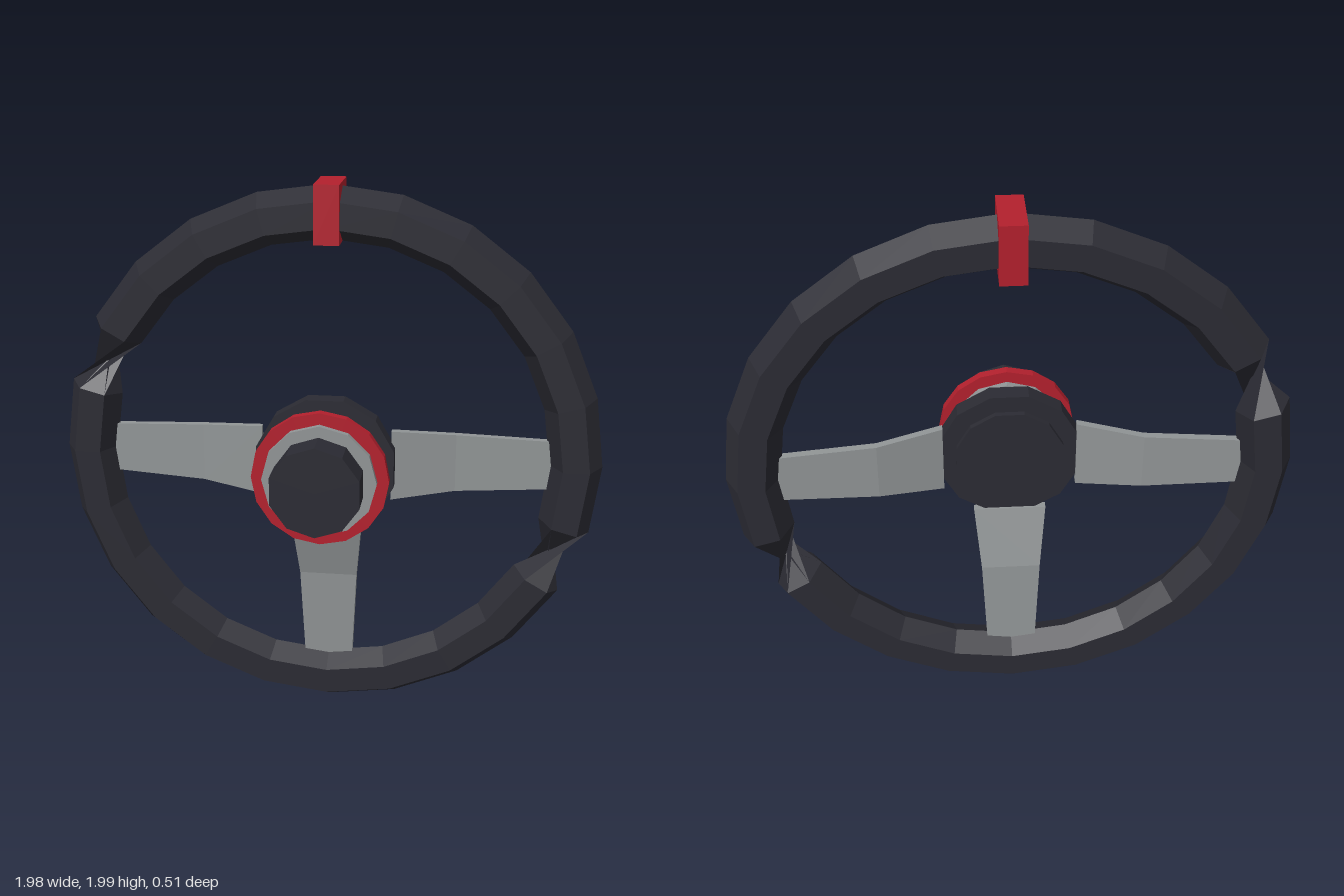
import * as THREE from 'three';

const flat = (name, color) => {
  const m = new THREE.MeshStandardMaterial({ color, flatShading: true });
  m.name = name;
  return m;
};

export function createModel() {
  const black = flat('black leather', 0x2b2b33);
  const red = flat('red accent', 0xb3202d);
  const grey = flat('grey metal', 0x919596);

  const wheel = new THREE.Group();
  wheel.name = 'steeringWheel';

  const add = (name, geometry, material) => {
    const mesh = new THREE.Mesh(geometry, material);
    mesh.name = name;
    mesh.position.y = 1;
    wheel.add(mesh);
    return mesh;
  };

  // Faceted disc along z, from back to front
  const disc = (name, r, back, front, sides, material, turn = 0) => {
    const g = new THREE.CylinderGeometry(r, r, front - back, sides);
    g.rotateX(Math.PI / 2).rotateZ(turn).translate(0, 0, (front + back) / 2);
    return add(name, g, material);
  };

  // Rim: hexagonal tube, half of its rings turned over to make two twisted grips
  const R = 0.895, segments = 24, rimZ = -0.15;
  const rim = new THREE.TorusGeometry(R, 0.095, 6, segments);
  const p = rim.attributes.position;
  for (let k = 0; k < p.count; k++) {
    const i = k % (segments + 1);
    if (i < 11 || i > 22) continue;
    const a = (i / segments) * Math.PI * 2;
    p.setXYZ(k, 2 * R * Math.cos(a) - p.getX(k), 2 * R * Math.sin(a) - p.getY(k), -p.getZ(k));
  }
  rim.translate(0, 0, rimZ);
  add('rim', rim, black);

  // Red centre marker wrapped over the top of the rim
  add('topMarker', new THREE.BoxGeometry(0.09, 0.207, 0.208).translate(0, 0.8965, -0.155), red);

  // Spokes: bent, tapering bars; stations are [distance, half width, front z]
  const stations = [[0.235, 0.13, -0.06], [0.465, 0.107, -0.12], [0.84, 0.089, -0.14]];
  const thickness = 0.028;
  const spokeGeometry = () => {
    const g = new THREE.BoxGeometry(1, 1, 1, 2, 1, 1);
    const v = g.attributes.position;
    for (let k = 0; k < v.count; k++) {
      const [d, w, z] = stations[Math.round((v.getX(k) + 0.5) * 2)];
      v.setXYZ(k, d, Math.sign(v.getY(k)) * w, v.getZ(k) > 0 ? z : z - thickness);
    }
    return g;
  };
  const spokes = { leftSpoke: 0, rightSpoke: Math.PI, lowerSpoke: -Math.PI / 2 };
  for (const [name, angle] of Object.entries(spokes)) {
    add(name, spokeGeometry().rotateZ(angle), grey);
  }

  // Hub plate with a shallow back cover
  disc('hubPlate', 0.258, -0.08, -0.015, 12, black, Math.PI / 12);
  disc('hubBackCover', 0.195, -0.1, -0.08, 12, black, Math.PI / 12);

  // Boss with its collar and red ring
  disc('boss', 0.164, -0.015, 0.255, 10, black);
  disc('collar', 0.204, 0.06, 0.14, 12, grey);
  disc('collarRing', 0.245, 0.084, 0.117, 16, red);

  return wheel;
}
